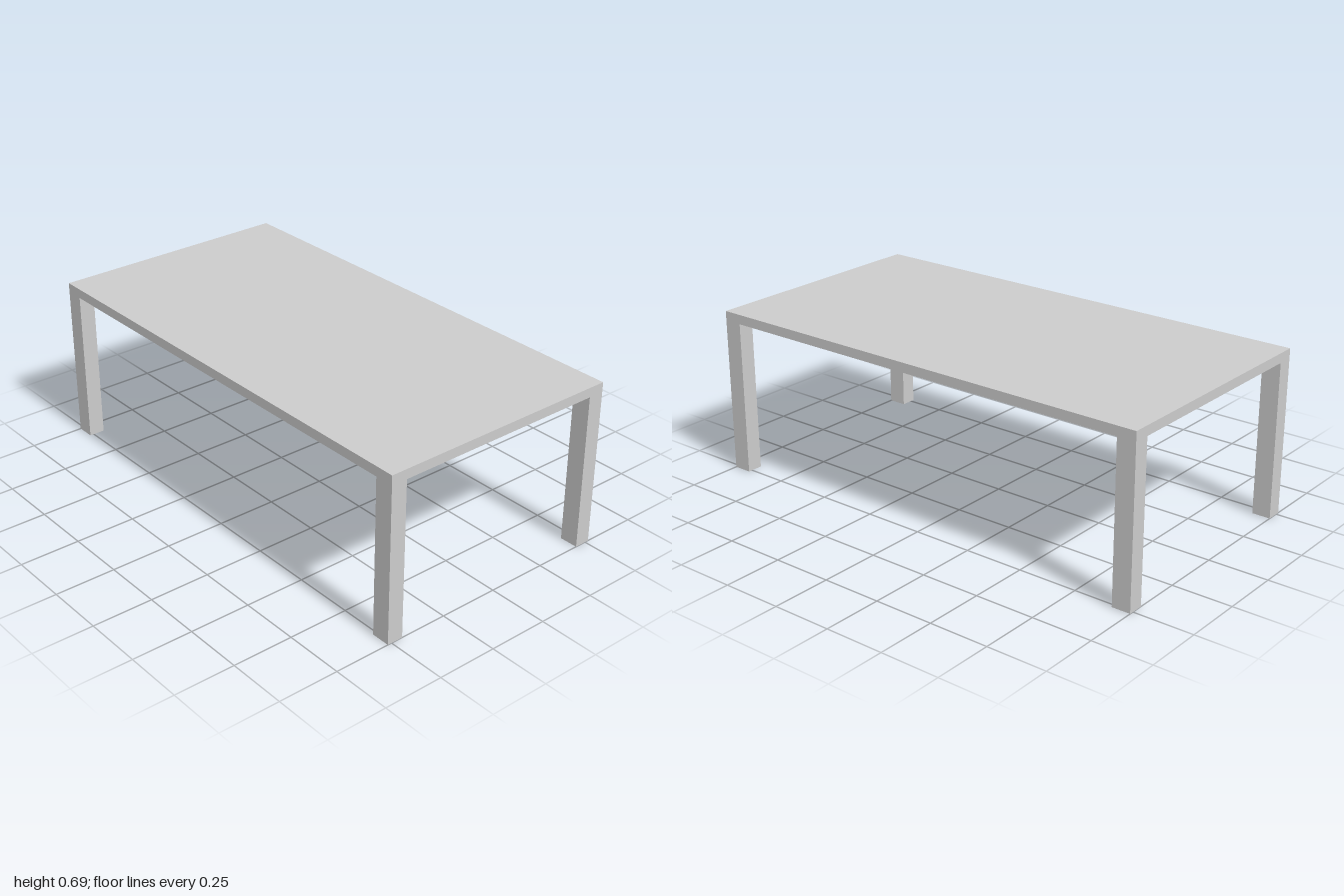
import * as THREE from 'three';

const W = 2, D = 1.034, H = 0.69, TOP = 0.04;   // overall size and slab thickness
const LX = 0.078, LZ = 0.067;                   // leg section
const RIM = 0.007, RECESS = 0.012;              // hollow at the foot of each leg

const rect = (Type, w, d) => new Type([
  new THREE.Vector2(-w / 2, -d / 2), new THREE.Vector2(w / 2, -d / 2),
  new THREE.Vector2(w / 2, d / 2), new THREE.Vector2(-w / 2, d / 2),
]);

export function createModel() {
  const group = new THREE.Group();
  const material = new THREE.MeshStandardMaterial({ color: 0xcccccc });
  const add = (parent, geometry, name, y) => {
    const mesh = new THREE.Mesh(geometry, material);
    mesh.name = name;
    mesh.position.y = y;
    parent.add(mesh);
  };

  // Slab across the full footprint
  add(group, new THREE.BoxGeometry(W, TOP, D), 'tableTop', H - TOP / 2);

  // Leg post, and a thin-walled foot that leaves a shallow recess underneath
  const postHeight = H - TOP - RECESS;
  const post = new THREE.BoxGeometry(LX, postHeight, LZ);
  const section = rect(THREE.Shape, LX, LZ);
  section.holes.push(rect(THREE.Path, LX - 2 * RIM, LZ - 2 * RIM));
  const foot = new THREE.ExtrudeGeometry(section, { depth: RECESS, bevelEnabled: false });
  foot.rotateX(-Math.PI / 2);

  // Four legs flush with the corners
  for (const sx of [-1, 1]) {
    for (const sz of [-1, 1]) {
      const leg = new THREE.Group();
      leg.name = (sz > 0 ? 'front' : 'back') + (sx > 0 ? 'Left' : 'Right') + 'Leg';
      leg.position.set(sx * (W - LX) / 2, 0, sz * (D - LZ) / 2);
      add(leg, post, 'legPost', RECESS + postHeight / 2);
      add(leg, foot, 'legFoot', 0);
      group.add(leg);
    }
  }
  return group;
}
